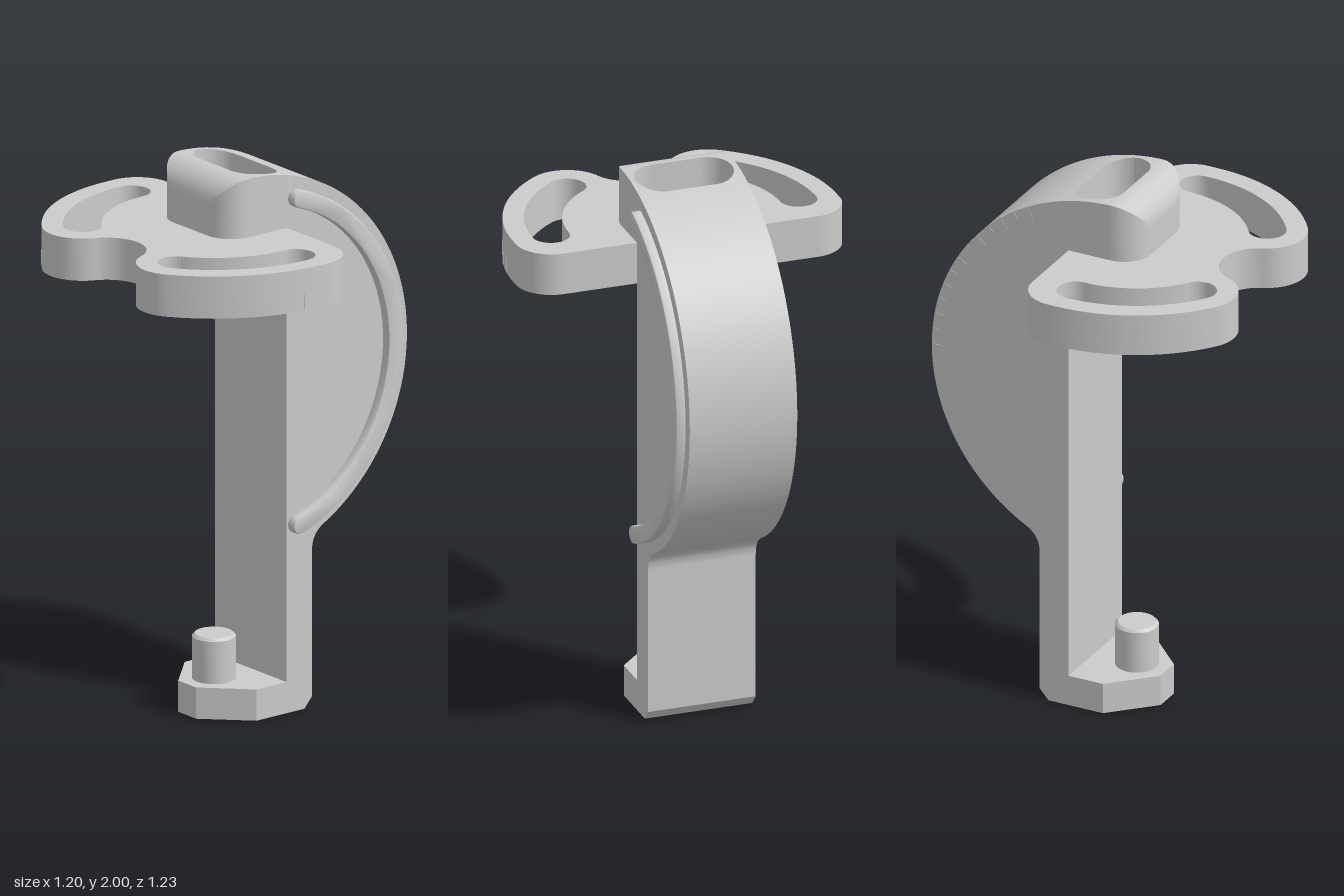
import * as THREE from 'three';
import { toCreasedNormals } from 'three/addons/utils/BufferGeometryUtils.js';

const PI = Math.PI;
const material = new THREE.MeshStandardMaterial({ color: 0xcccccc });

function add(parent, name, geometry) {
  const mesh = new THREE.Mesh(toCreasedNormals(geometry, 0.5), material);
  mesh.name = name;
  parent.add(mesh);
  return mesh;
}

// Shape drawn in (x, z), extruded downwards from height top
function plan(shape, top, depth) {
  return new THREE.ExtrudeGeometry(shape, { depth, bevelEnabled: false, curveSegments: 32 })
    .rotateX(PI / 2).translate(0, top, 0);
}

// Shape drawn in (z, y), extruded towards -x from x = right
function side(shape, right, options) {
  return new THREE.ExtrudeGeometry(shape, { bevelEnabled: false, curveSegments: 64, ...options })
    .rotateY(-PI / 2).translate(right, 0, 0);
}

// Curved slot outline with round ends, around a centre from angle a to b
function arcSlot(path, cx, cy, R, r, a, b) {
  const end = (t) => [cx + R * Math.cos(t), cy + R * Math.sin(t)];
  path.absarc(cx, cy, R + r, a, b, false);
  path.absarc(...end(b), r, b, b + PI, false);
  path.absarc(cx, cy, R - r, b, a, true);
  path.absarc(...end(a), r, a + PI, a + 2 * PI, false);
  return path;
}

function stadium(path, halfLength, r) {
  path.absarc(halfLength, 0, r, -PI / 2, PI / 2, false);
  path.absarc(-halfLength, 0, r, PI / 2, PI * 1.5, false);
  path.closePath();
  return path;
}

function circleHole(x, z, r) {
  return new THREE.Path().absarc(x, z, r, 0, 2 * PI, false);
}

// Large arc of the body's back, in (z, y)
const ARC = { z: 0.1, y: 1.29, r: 0.71 };
const arcTop = (z) => ARC.y + Math.sqrt(ARC.r ** 2 - (z - ARC.z) ** 2);
const HEAD = 0.095, PLATE_TOP = 1.785, PIN_Z = 0.095;

function bodyGeometry() {
  const s = new THREE.Shape();
  s.moveTo(-0.07, 0);
  s.lineTo(-0.07, PLATE_TOP);
  s.lineTo(-HEAD, PLATE_TOP);
  s.lineTo(-HEAD, arcTop(-HEAD));
  s.absarc(ARC.z, ARC.y, ARC.r, Math.acos((-HEAD - ARC.z) / ARC.r), PI + Math.atan2(0.623, 0.34), false);
  s.quadraticCurveTo(-0.185, 0.637, -0.185, 0.58);
  s.lineTo(-0.185, 0.04);
  s.lineTo(-0.15, 0);
  return side(s, 0.2, { depth: 0.4 });
}

// Block with the pocket; its top follows the body's arc
function headGeometry() {
  const pts = [];
  for (let i = 0; i <= 6; i++) pts.push(new THREE.Vector2(0.2, -HEAD + (i * HEAD) / 3));
  for (let i = 6; i >= 0; i--) pts.push(new THREE.Vector2(-0.2, -HEAD + (i * HEAD) / 3));
  const s = new THREE.Shape(pts);
  s.holes.push(stadium(new THREE.Path(), 0.09, 0.09));
  const g = plan(s, 2, 2 - PLATE_TOP);
  const p = g.attributes.position;
  for (let i = 0; i < p.count; i++) if (p.getY(i) > 1.9) p.setY(i, arcTop(p.getZ(i)));
  return g;
}

// Rounded front of the head: plan rounding and top rounding meet in mitres
function noseGeometry() {
  const R = 0.105, n = 10;
  const steps = Array.from({ length: n + 1 }, (_, k) => R * Math.sin((k / n) * PI / 2));
  const xs = [...steps.map((s) => -HEAD - s).reverse(), ...steps.map((s) => HEAD + s)];
  const ys = [PLATE_TOP - 0.01, ...steps.map((s) => 2 - R + s)];
  const depth = (s) => HEAD + Math.sqrt(Math.max(0, R * R - Math.max(0, s) ** 2));
  const pos = [], index = [];
  for (const y of ys) for (const x of xs) {
    pos.push(x, y, Math.min(depth(Math.abs(x) - HEAD), depth(y - 2 + R)));
  }
  for (let j = 0; j < ys.length - 1; j++) for (let i = 0; i < xs.length - 1; i++) {
    const a = j * xs.length + i, b = a + 1, d = a + xs.length, c = d + 1;
    if (xs[i] < 0) index.push(a, b, d, b, c, d);
    else index.push(a, b, c, a, c, d);
  }
  const g = new THREE.BufferGeometry();
  g.setAttribute('position', new THREE.Float32BufferAttribute(pos, 3));
  g.setIndex(index);
  return g.toNonIndexed();
}

// Two-lobed plate with two curved slots around the pin axis
function plateGeometry() {
  const R = 0.46, a = 0.965, r = 0.067, lobe = 0.142;
  const lx = R * Math.cos(a), lz = PIN_Z + R * Math.sin(a);
  const notchZ = 0.576, t = Math.atan2(notchZ - lz, -lx);
  const notch = Math.hypot(lx, notchZ - lz) - lobe;
  const s = new THREE.Shape();
  s.moveTo(-0.47, -0.07);
  s.lineTo(0.47, -0.07);
  s.absarc(0.472, 0.06, 0.13, -PI / 2, 0, false);
  s.absarc(0, PIN_Z, R + lobe, 0, a, false);
  s.absarc(lx, lz, lobe, a, t, false);
  s.absarc(0, notchZ, notch, t - PI, -t, true);
  s.absarc(-lx, lz, lobe, PI - t, PI - a, false);
  s.absarc(0, PIN_Z, R + lobe, PI - a, PI, false);
  s.absarc(-0.472, 0.06, 0.13, PI, PI * 1.5, false);
  s.holes.push(arcSlot(new THREE.Path(), 0, PIN_Z, R, r, 0, a));
  s.holes.push(arcSlot(new THREE.Path(), 0, PIN_Z, R, r, PI - a, PI));
  for (const x of [-0.09, 0.09]) s.holes.push(circleHole(x, -0.005, 0.032));
  return plan(s, PLATE_TOP, 0.155);
}

// Pin along y with a small chamfer at its free end
function pinGeometry(y0, y1) {
  const c = Math.sign(y1 - y0) * 0.01;
  const pts = [[0.077, y0], [0.077, y1 - c], [0.067, y1], [0, y1]];
  if (y1 < y0) pts.reverse();
  return new THREE.LatheGeometry(pts.map((p) => new THREE.Vector2(...p)), 40).translate(0, 0, PIN_Z);
}

export function createModel() {
  const model = new THREE.Group();
  model.name = 'angleGauge';

  add(model, 'body', bodyGeometry());
  add(model, 'pocketedHead', headGeometry());
  add(model, 'roundedHeadFront', noseGeometry());
  add(model, 'slottedPlate', plateGeometry());

  // Pocket floor with two screw seats
  const floor = stadium(new THREE.Shape(), 0.09, 0.09);
  for (const x of [-0.09, 0.09]) floor.holes.push(circleHole(x, -0.005, 0.045));
  add(model, 'pocketFloor', plan(floor, PLATE_TOP + 0.025, 0.025));

  // Faceted foot
  const foot = new THREE.Shape([[-0.2, -0.07], [0.2, -0.07], [0.2, 0.065], [0.05, 0.215], [-0.05, 0.215], [-0.2, 0.065]]
    .map((p) => new THREE.Vector2(...p)));
  add(model, 'foot', plan(foot, 0.115, 0.115));

  add(model, 'lowerPin', pinGeometry(0.11, 0.28));
  add(model, 'upperPin', pinGeometry(1.64, 1.475));

  // Curved guide rail on the left side
  const span = 1.235;
  const rail = arcSlot(new THREE.Shape(), ARC.z, ARC.y, 0.635, 0.024, PI - span, PI + span);
  add(model, 'guideRail', side(rail, 0.227, {
    depth: 0.03, bevelEnabled: true, bevelThickness: 0.008, bevelSize: 0.008, bevelSegments: 2,
  }));

  // Scale marks on the plate rim and on the body's right face
  const marks = new THREE.Group();
  marks.name = 'scaleMarks';
  model.add(marks);
  for (let i = 0; i < 7; i++) {
    const t = 0.12 + i * 0.13, h = i % 2 ? 0.04 : 0.055;
    for (const m of [-1, 1]) {
      const rim = add(marks, 'rimMark', new THREE.BoxGeometry(0.004, h, 0.006));
      rim.position.set(m * 0.602 * Math.cos(t), 1.635 + h / 2, PIN_Z + 0.602 * Math.sin(t));
      rim.rotation.y = m > 0 ? -t : t;
    }
  }
  for (let i = 0; i <= 12; i++) {
    const t = PI - i * 0.09, l = i % 2 ? 0.025 : 0.04, r = 0.705 - l / 2;
    const mark = add(marks, 'bodyMark', new THREE.BoxGeometry(0.003, 0.006, l));
    mark.position.set(-0.2, ARC.y + r * Math.sin(t), ARC.z + r * Math.cos(t));
    mark.rotation.x = -t;
  }
  return model;
}
